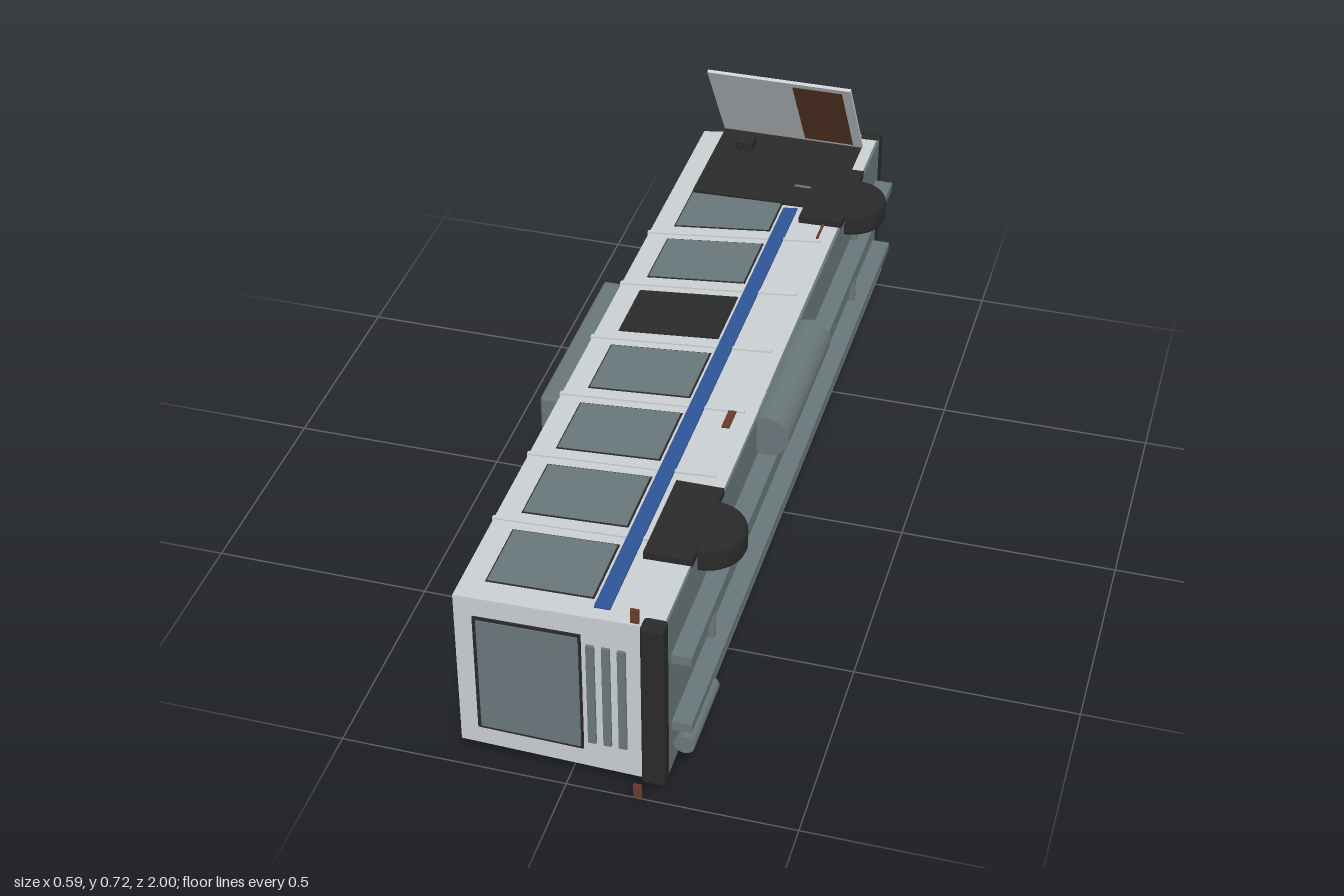
import * as THREE from 'three';
import { RoundedBoxGeometry } from 'three/addons/geometries/RoundedBoxGeometry.js';

const mat = (name, color) => {
  const m = new THREE.MeshStandardMaterial({ color });
  m.name = name;
  return m;
};

const CY = 0.2563;   // middle of the body's width, along y
const HALF = 0.207;  // half width at the floor

export function createModel() {
  const paint = mat('light grey paint', 0xcacfd2);
  const steel = mat('grey glass and steel', 0x69777a);
  const dark = mat('dark rubber', 0x2a2a2a);
  const blue = mat('blue stripe', 0x2f5596);
  const rust = mat('rust brown', 0x6b3a2a);
  const lining = mat('dark brown lining', 0x5c3828);

  // The coach lies on its side: roof to -x, floor to +x, windscreen to -z
  const model = new THREE.Group();
  model.name = 'overturnedCoach';

  const add = (name, geo, material, parent = model) => {
    const mesh = new THREE.Mesh(geo, material);
    mesh.name = name;
    parent.add(mesh);
    return mesh;
  };
  const boxGeo = (x0, x1, y0, y1, z0, z1) =>
    new THREE.BoxGeometry(x1 - x0, y1 - y0, z1 - z0)
      .translate((x0 + x1) / 2, (y0 + y1) / 2, (z0 + z1) / 2);
  const box = (name, m, ...b) => add(name, boxGeo(...b), m);
  const roundBox = (name, m, r, x0, x1, y0, y1, z0, z1) =>
    add(name, new RoundedBoxGeometry(x1 - x0, y1 - y0, z1 - z0, 2, r)
      .translate((x0 + x1) / 2, (y0 + y1) / 2, (z0 + z1) / 2), m);

  // Box in body space (y measured from the middle), narrowed to the roof and raked to the windscreen
  const bodyBox = (name, m, ...b) => {
    const geo = boxGeo(...b);
    const p = geo.attributes.position;
    for (let i = 0; i < p.count; i++) {
      const x = p.getX(i), y = p.getY(i), z = p.getZ(i), up = 0.2 - x;
      p.setXYZ(i, x, CY + y * (1 - 0.12 * up), z + ((0.99 - z) / 1.98) * 0.185 * up);
    }
    geo.computeVertexNormals();
    return add(name, geo, m);
  };
  // Thin plate on one long side
  const sidePlate = (name, m, side, x0, x1, z0, z1, t) => {
    const a = side * (HALF - 0.004), b = side * (HALF + t);
    return bodyBox(name, m, x0, x1, Math.min(a, b), Math.max(a, b), z0, z1);
  };
  const rod = (name, m, axis, r, len, x, y, z, seg = 24) => {
    const geo = new THREE.CylinderGeometry(r, r, len, seg);
    if (axis === 'z') geo.rotateX(Math.PI / 2);
    return add(name, geo.translate(x, y, z), m);
  };

  // Shell and floor
  bodyBox('bodyShell', paint, -0.232, 0.208, -HALF, HALF, -0.985, 0.987);
  bodyBox('floor', steel, 0.206, 0.2125, -HALF, HALF, -0.962, 0.962);

  // Windows, ribs, stripe, arches and markers of both long sides
  for (const side of [1, -1]) {
    const count = side > 0 ? 7 : 8;
    for (let i = 0; i < count; i++) {
      const z = 0.84 - i * 0.2385;
      sidePlate('windowFrame', dark, side, -0.181, 0.05, z - 0.089, z + 0.089, 0.002);
      sidePlate('sideWindow', i === 4 ? dark : steel, side, -0.178, 0.046, z - 0.086, z + 0.086, 0.0035);
    }
    for (let i = 0; i < 7; i++) {
      const z = 0.72 - i * 0.2375;
      if (side < 0 || i < 6) sidePlate('rib', paint, side, -0.235, 0.18, z - 0.005, z + 0.005, 0.004);
    }
    sidePlate('stripe', blue, side, 0.057, 0.091, side > 0 ? -0.608 : -0.9, 0.955, 0.005);
    sidePlate('sideMarker', rust, side, 0.146, 0.163, 0.25, 0.31, 0.005);
    sidePlate('sideMarkerEdge', rust, side, 0.166, 0.171, -0.54, -0.48, 0.005);

    for (const z of [0.66, -0.66]) {
      const y = CY + side * 0.2125;
      box('wheelArch', dark, 0.108, 0.213, y - 0.009, y + 0.009, z - 0.124, z + 0.124);
    }
    // Flags at the tail and mirrors by the windscreen
    const fy = CY + side * 0.2388;
    box('tailFlag', rust, 0.146, 0.164, fy - 0.0175, fy + 0.0175, 0.994, 0.999);
    const my = CY + side * 0.239;
    roundBox('mirror', dark, 0.004, -0.118, -0.075, my - 0.012, my + 0.012, -0.835, -0.79);
    const sy = CY + side * 0.22;
    box('mirrorArm', dark, -0.119, -0.112, sy - 0.023, sy + 0.023, -0.816, -0.808);

    // Headlamp plates
    const hy = side * 0.172;
    bodyBox('headlamp', paint, 0.127, 0.163, hy - 0.028, hy + 0.028, -0.995, -0.98);
  }

  // Bumpers
  for (const s of [0.98, -0.98])
    roundBox('bumper', dark, 0.008, 0.164, 0.2145, CY - 0.212, CY + 0.212, s - 0.02, s + 0.02);

  // Tail window, with louvres running across behind and beside the pane
  bodyBox('tailWindowFrame', dark, -0.192, 0.038, -0.158, 0.158, 0.98, 0.991);
  bodyBox('tailWindow', steel, -0.184, 0.032, -0.151, 0.151, 0.98, 0.993);
  for (let i = 0; i < 8; i++) {
    const x = 0.115 - i * 0.033;
    box('louvre', steel, x, x + 0.017, 0.125, 0.388, 0.98, 0.994);
  }

  // Windscreen
  bodyBox('windscreenFrame', dark, -0.2, 0.042, -0.162, 0.156, -0.988, -0.98);
  bodyBox('windscreen', steel, -0.194, 0.037, -0.156, 0.15, -0.99, -0.98);

  // Roof unit and hatches
  roundBox('roofUnit', steel, 0.008, -0.297, -0.225, 0.11, 0.404, -0.25, 0.24);
  for (const z of [-0.425, 0.41])
    box('roofHatch', dark, -0.238, -0.228, 0.174, 0.339, z - 0.08, z + 0.08);

  // Doorway and its door, swung open on a hinge near the windscreen
  box('doorway', dark, -0.178, 0.178, 0.44, 0.465, -0.92, -0.606);
  box('doorLatch', steel, 0.06, 0.1, 0.46, 0.468, -0.694, -0.688);
  const door = new THREE.Group();
  door.name = 'openDoor';
  door.position.set(0, 0.463, -0.92);
  door.rotation.x = -Math.atan2(0.262, 0.175);
  add('doorPanel', boxGeo(-0.18, 0.18, -0.004, 0.004, 0, 0.312), paint, door);
  add('doorGlass', boxGeo(-0.135, 0, 0.003, 0.0055, 0.015, 0.27), steel, door);
  add('doorLining', boxGeo(0.033, 0.157, -0.0055, -0.003, 0.017, 0.295), lining, door);
  model.add(door);

  // Wheels remain on the upper side only; axles run across the floor
  const tyre = [[0, -0.032], [0.074, -0.032], [0.081, -0.027], [0.084, -0.02],
    [0.084, 0.02], [0.081, 0.027], [0.074, 0.032], [0, 0.032]]
    .map(([r, y]) => new THREE.Vector2(r, y));
  for (const z of [0.66, -0.66]) {
    add('wheel', new THREE.LatheGeometry(tyre, 32).translate(0.211, 0.447, z), dark);
    rod('axle', steel, 'y', 0.01, 0.35, 0.22, 0.242, z, 12);
  }

  // Chassis rails, exhaust and tank
  for (const y of [0.1655, 0.3475])
    box('chassisRail', steel, 0.21, 0.2555, y - 0.011, y + 0.011, -0.94, 0.94);
  rod('exhaustPipe', steel, 'z', 0.01, 1.84, 0.238, 0.119, 0.02, 12);
  rod('muffler', steel, 'z', 0.0225, 0.195, 0.239, 0.117, 0.842);
  rod('fuelTank', steel, 'z', 0.05, 0.395, 0.235, 0.418, 0.065);

  return model;
}
